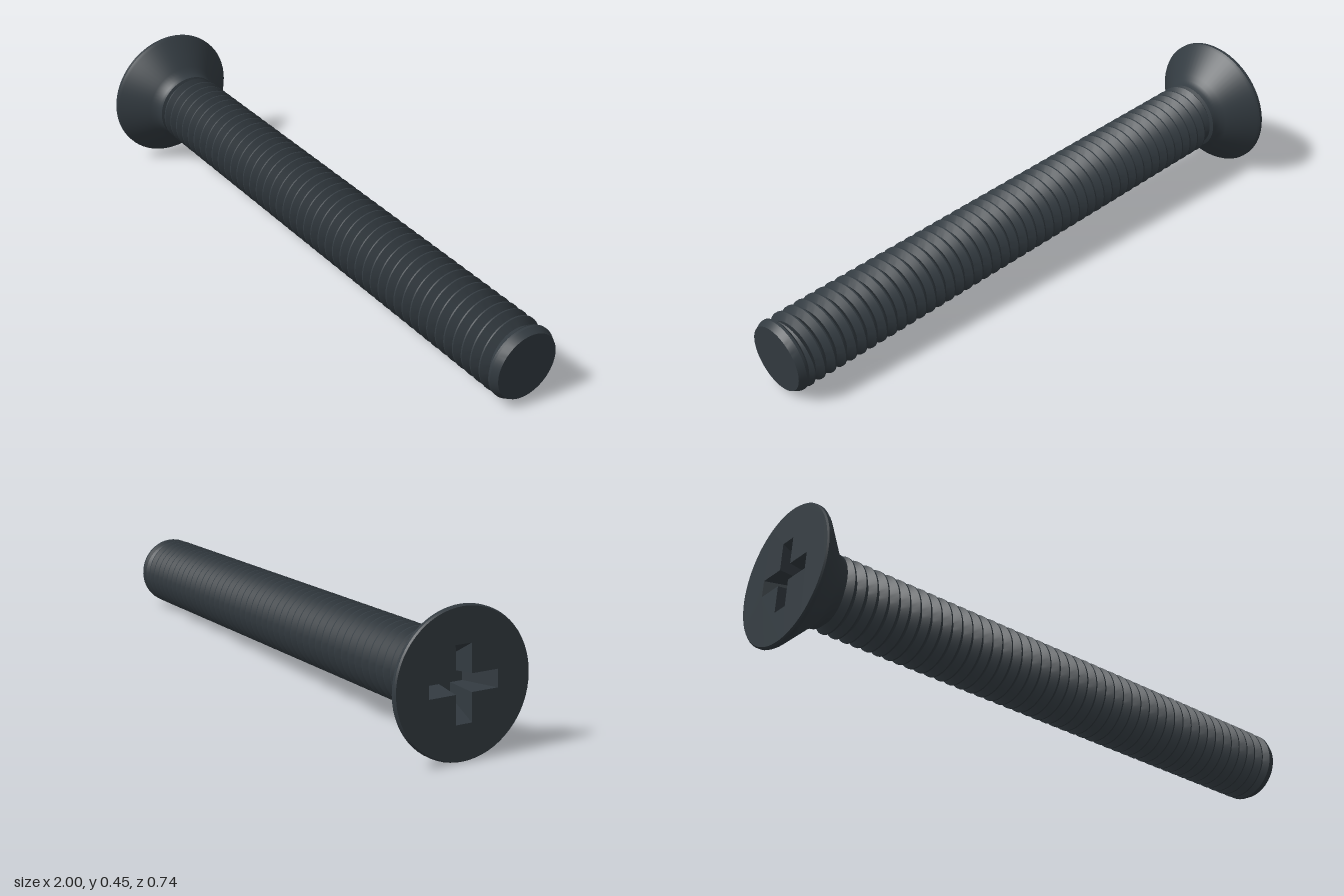
import * as THREE from 'three';
import { toCreasedNormals } from 'three/addons/utils/BufferGeometryUtils.js';

const LENGTH = 1.972, PITCH = 0.0394, CREST = 0.12, ROOT = 0.098, SIDES = 64;

const blackSteel = new THREE.MeshStandardMaterial({ color: 0x333b41 });
blackSteel.name = 'black steel';

function part(name, geometry) {
  const mesh = new THREE.Mesh(toCreasedNormals(geometry, 0.45), blackSteel);
  mesh.name = name;
  return mesh;
}

function lathe(points) {
  return new THREE.LatheGeometry(points.map(([r, y]) => new THREE.Vector2(r, y)), SIDES);
}

function geometryFrom(positions, indices) {
  const g = new THREE.BufferGeometry();
  g.setAttribute('position', new THREE.Float32BufferAttribute(positions, 3));
  g.setIndex(indices);
  return g;
}

// Counter-clockwise outline of a cross with arms of the given reach and half width
function crossPoints(reach, half) {
  const points = [];
  for (let k = 0; k < 4; k++) {
    for (const [x, y] of [[reach, -half], [reach, half], [half, half]]) {
      points.push(new THREE.Vector2(x, y).rotateAround(new THREE.Vector2(), k * Math.PI / 2));
    }
  }
  return points;
}

// Right-handed helical V thread: one pitch of profile swept around the axis
function threadGeometry(start, end) {
  const profile = [[0, ROOT], [0.44, CREST], [0.56, CREST], [1, ROOT]];
  const steps = Math.ceil((end - start) / PITCH + 1) * SIDES;
  const n = profile.length, positions = [], indices = [];
  for (let i = 0; i <= steps; i++) {
    const a = i / SIDES * Math.PI * 2;
    profile.forEach(([t, radius], j) => {
      const y = THREE.MathUtils.clamp(start + (i / SIDES - 1 + t) * PITCH, start, end);
      const r = Math.min(radius, ROOT + y - start, ROOT + end - y);
      positions.push(r * Math.cos(a), y, -r * Math.sin(a));
      if (i < steps && j < n - 1) {
        const p = i * n + j, q = p + n;
        indices.push(p, q, p + 1, p + 1, q, q + 1);
      }
    });
  }
  return geometryFrom(positions, indices);
}

export function createModel() {
  const screw = new THREE.Group();
  screw.name = 'countersunk screw';

  // Countersunk cone with a thin rim and a small fillet at the neck
  screw.add(part('head', lathe([
    [0.222, 0], [0.226, 0.005], [0.226, 0.015], [0.22, 0.024],
    [0.14, 0.1], [0.126, 0.115], [0.119, 0.13], [0.117, 0.142], [ROOT, 0.152],
  ])));

  // Flat drive face with a cross-shaped opening
  const rim = crossPoints(0.115, 0.027);
  const face = new THREE.Shape().absarc(0, 0, 0.222, 0, Math.PI * 2);
  face.holes.push(new THREE.Path(rim.slice().reverse()));
  screw.add(part('headFace', new THREE.ShapeGeometry(face, SIDES / 2).rotateX(Math.PI / 2)));

  // Tapered walls and floor of the cross recess
  const depth = 0.095, floor = crossPoints(0.06, 0.019);
  const positions = [], indices = [], count = rim.length;
  rim.forEach((p, i) => {
    const next = (i + 1) % count;
    positions.push(p.x, p.y, 0, floor[i].x, floor[i].y, -depth);
    indices.push(2 * i, 2 * next, 2 * i + 1, 2 * next, 2 * next + 1, 2 * i + 1);
  });
  screw.add(part('recessWalls', geometryFrom(positions, indices).rotateX(Math.PI / 2)));
  const floorGeometry = new THREE.ShapeGeometry(new THREE.Shape(floor));
  screw.add(part('recessFloor', floorGeometry.translate(0, 0, -depth).rotateX(Math.PI / 2)));

  // Threaded shank and chamfered tip
  screw.add(part('thread', threadGeometry(0.14, LENGTH - 0.03)));
  screw.add(part('tip', lathe([
    [ROOT, LENGTH - 0.046], [0.119, LENGTH - 0.03], [0.119, LENGTH - 0.022],
    [0.108, LENGTH], [0, LENGTH],
  ])));

  // Lay the screw at a slant, resting on the rim of its head and its tip
  const axis = new THREE.Vector3(1.925, -0.104, 0.413).normalize();
  const up = new THREE.Vector3(0, 1, 0).addScaledVector(axis, -axis.y).normalize();
  const side = new THREE.Vector3().crossVectors(up, axis);
  screw.quaternion.setFromRotationMatrix(new THREE.Matrix4().makeBasis(up, axis, side));
  screw.position.set(-0.952, 0.228, -0.155);

  const model = new THREE.Group();
  model.name = 'screw';
  model.add(screw);
  return model;
}
